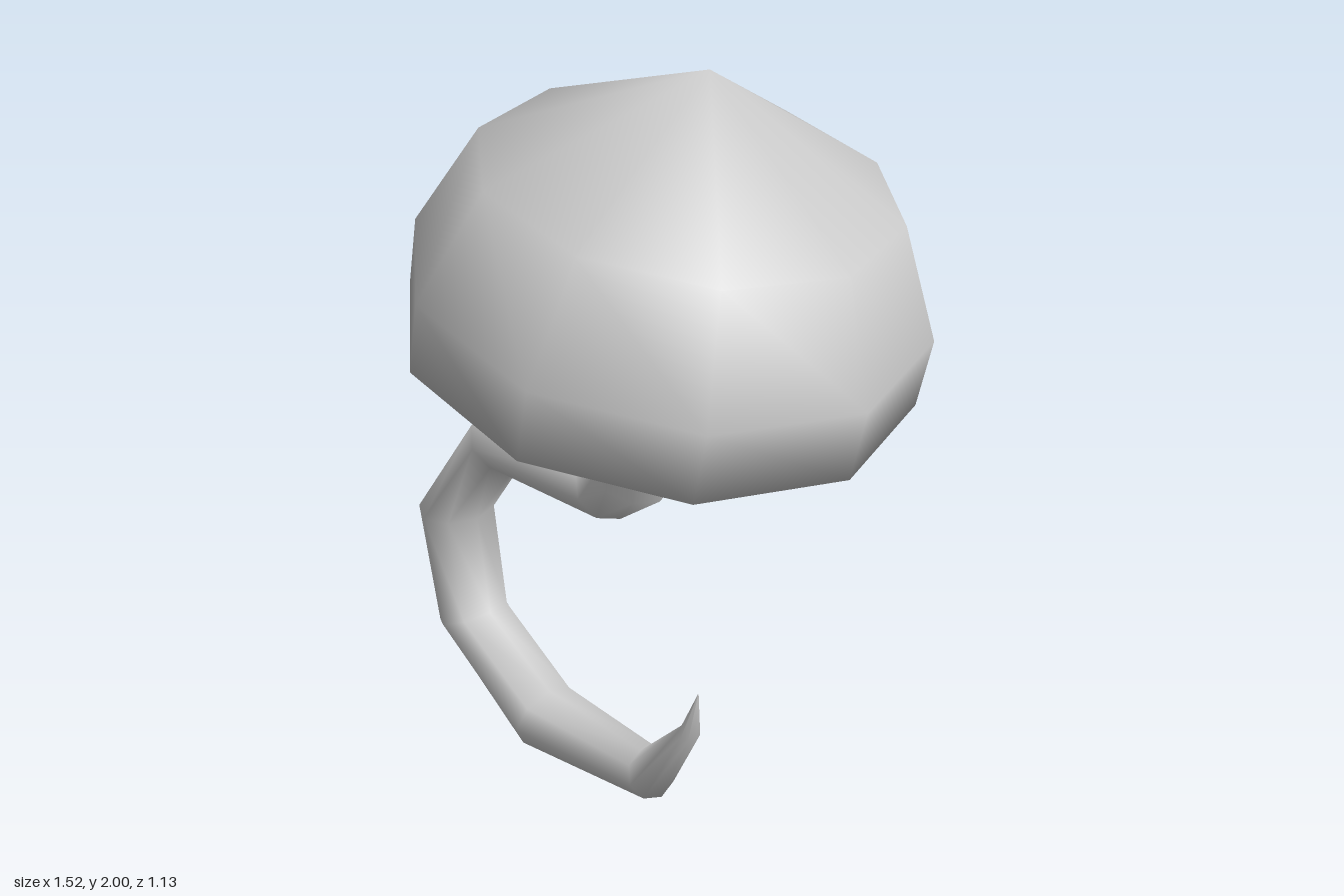
import * as THREE from 'three';
import { mergeVertices } from 'three/addons/utils/BufferGeometryUtils.js';

const material = new THREE.MeshStandardMaterial({ color: 0xcccccc });

// Ten-sided dome with a flat underside, smoothly shaded across the rim
function makeCap() {
  const profile = [[0, 0], [0.594, 0], [0.594, 0.17], [0.471, 0.425], [0, 0.67]]
    .map(([r, y]) => new THREE.Vector2(r, y));
  let geometry = new THREE.LatheGeometry(profile, 10, Math.PI / 2);
  geometry.deleteAttribute('uv');
  geometry.deleteAttribute('normal');
  geometry = mergeVertices(geometry, 1e-4);
  geometry.computeVertexNormals();
  const cap = new THREE.Mesh(geometry, material);
  cap.name = 'cap';
  cap.position.set(0.14, 1.345, 0);
  cap.rotation.z = -0.212;
  return cap;
}

// Eight-sided curling stem, skinned over elliptical cross-sections
function makeStem() {
  const sides = 8;
  // Each section: two opposite edge points (x, y) and the half width in z
  const sections = [
    [0.015, 1.42, 0.265, 1.37, 0.125],
    [-0.035, 0.985, 0.15, 0.94, 0.09],
    [-0.1, 0.965, 0.01, 0.835, 0.09],
    [-0.51, 0.95, -0.405, 0.815, 0.095],
    [-0.76, 0.605, -0.575, 0.595, 0.113],
    [-0.69, 0.25, -0.53, 0.31, 0.108],
    [-0.31, 0, -0.28, 0.175, 0.107],
    [0.17, 0.075, 0.09, 0.18, 0.075],
    [0.29, 0.32, 0.245, 0.345, 0.03],
    [0.295, 0.46, 0.293, 0.46, 0.001],
  ];
  const positions = [], indices = [];
  sections.forEach(([ax, ay, bx, by, w], j) => {
    for (let i = 0; i < sides; i++) {
      const angle = (i / sides) * Math.PI * 2;
      const t = (1 + Math.cos(angle)) / 2;
      positions.push(ax + (bx - ax) * t, ay + (by - ay) * t, w * Math.sin(angle));
      if (j === sections.length - 1) continue;
      const p = j * sides + i, q = j * sides + (i + 1) % sides;
      indices.push(p, q, p + sides, q, q + sides, p + sides);
    }
  });
  const geometry = new THREE.BufferGeometry();
  geometry.setAttribute('position', new THREE.Float32BufferAttribute(positions, 3));
  geometry.setIndex(indices);
  geometry.computeVertexNormals();
  const stem = new THREE.Mesh(geometry, material);
  stem.name = 'curledStem';
  return stem;
}

export function createModel() {
  const group = new THREE.Group();
  group.name = 'mushroom';
  group.add(makeCap(), makeStem());
  return group;
}
